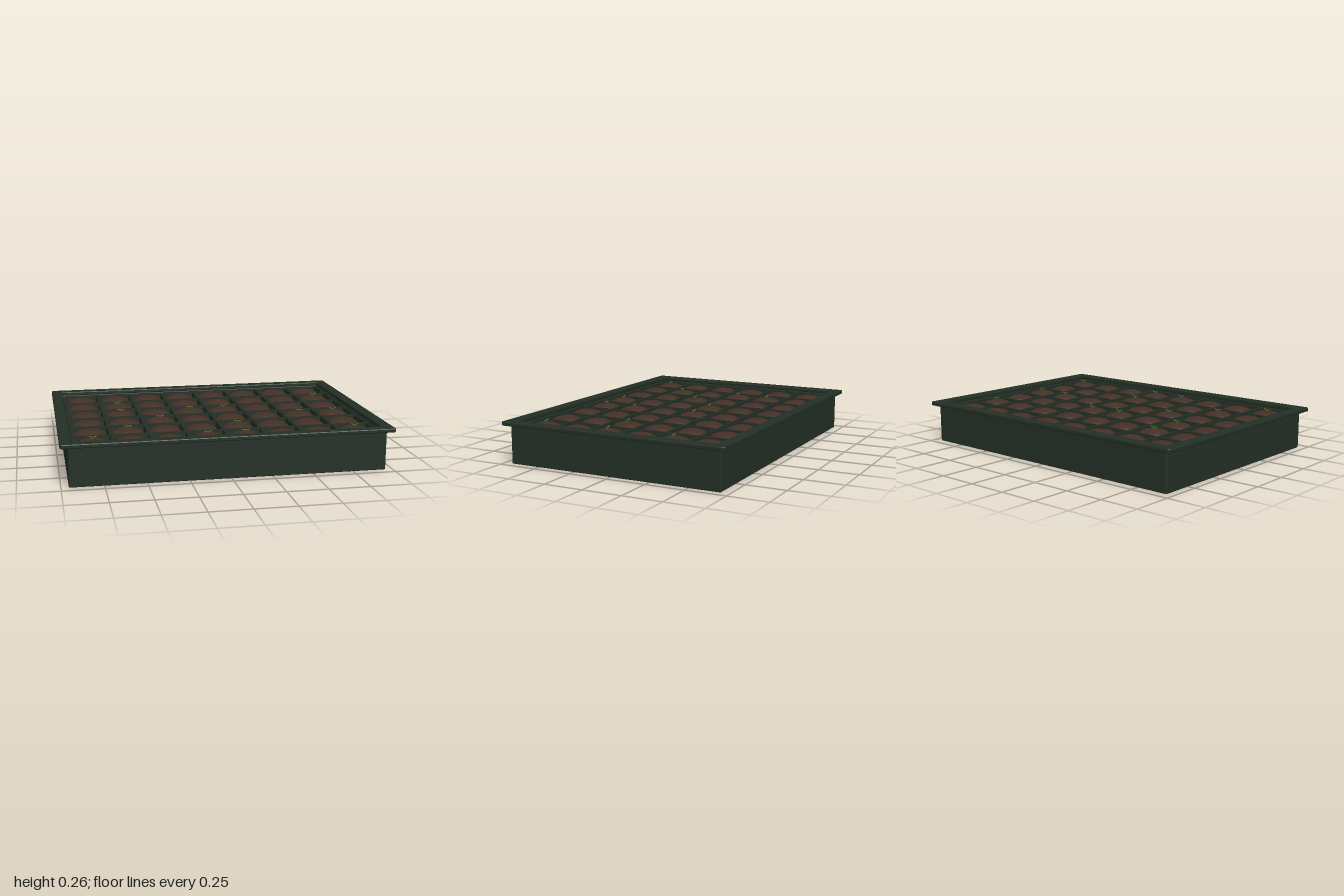
import * as THREE from 'three';

const green = new THREE.MeshStandardMaterial({ color: 0x232f25 });
green.name = 'dark green plastic';
const brown = new THREE.MeshStandardMaterial({ color: 0x452f26 });
brown.name = 'brown soil';
const leafGreen = new THREE.MeshStandardMaterial({ color: 0x4c7a2c, side: THREE.DoubleSide });
leafGreen.name = 'leaf green';

const COLS = 8, ROWS = 6, STEP_X = 0.229, STEP_Z = 0.219;
const WALL_TOP = 0.24, FLOOR = 0.035, DIVIDER_TOP = 0.235;

function add(parent, name, geometry, material, x = 0, y = 0, z = 0) {
  const mesh = new THREE.Mesh(geometry, material);
  mesh.name = name;
  mesh.position.set(x, y, z);
  parent.add(mesh);
  return mesh;
}

// Rectangle outline with small chamfered corners
function outline(hx, hz, c, Type = THREE.Shape) {
  const pts = [
    [hx - c, -hz], [hx, -hz + c], [hx, hz - c], [hx - c, hz],
    [-hx + c, hz], [-hx, hz - c], [-hx, -hz + c], [-hx + c, -hz],
  ];
  return new Type(pts.map(([x, z]) => new THREE.Vector2(x, z)));
}

// Upright rectangular frame from y0 to y1 with an open middle
function frame(hx, hz, ix, iz, y0, y1, c, bevel) {
  const shape = outline(hx - bevel, hz - bevel, c);
  shape.holes.push(outline(ix + bevel, iz + bevel, 0.002, THREE.Path));
  const geo = new THREE.ExtrudeGeometry(shape, {
    depth: y1 - y0 - 2 * bevel, bevelEnabled: bevel > 0,
    bevelSize: bevel, bevelThickness: bevel, bevelSegments: 1,
  });
  geo.rotateX(-Math.PI / 2);
  geo.translate(0, y0 + bevel, 0);
  return geo;
}

export function createModel() {
  const tray = new THREE.Group();
  tray.name = 'seedTray';

  // Shell: floor, walls and overhanging rim
  add(tray, 'floor', new THREE.BoxGeometry(1.9, FLOOR, 1.38), green, 0, FLOOR / 2, 0);
  add(tray, 'walls', frame(0.955, 0.697, 0.928, 0.664, 0, WALL_TOP, 0.004, 0.003), green);
  add(tray, 'rim', frame(1, 0.735, 0.93, 0.665, WALL_TOP, 0.264, 0.008, 0.004), green);

  // Thin dividers around every cell
  const dividers = new THREE.Group();
  dividers.name = 'dividers';
  tray.add(dividers);
  const h = DIVIDER_TOP - FLOOR, midY = FLOOR + h / 2;
  for (let i = 0; i <= COLS; i++) {
    add(dividers, 'crossDivider', new THREE.BoxGeometry(0.014, h, 1.33), green,
      (i - COLS / 2) * STEP_X, midY, 0);
  }
  for (let j = 0; j <= ROWS; j++) {
    add(dividers, 'longDivider', new THREE.BoxGeometry(1.86, h, 0.014), green,
      0, midY, (j - ROWS / 2) * STEP_Z);
  }

  // Soil plug: tapered sides under a low dome
  const profile = [new THREE.Vector2(0.075, FLOOR)];
  for (let k = 0; k <= 7; k++) {
    const a = (k / 7) * Math.PI / 2;
    profile.push(new THREE.Vector2(Math.max(0.1 * Math.cos(a), 0), 0.202 + 0.042 * Math.sin(a)));
  }
  const soil = new THREE.LatheGeometry(profile, 20);

  // Seedling parts
  const stem = new THREE.CylinderGeometry(0.002, 0.003, 0.014, 6);
  const leaf = new THREE.SphereGeometry(1, 8, 6);
  leaf.scale(0.013, 0.003, 0.006);

  // Columns that carry a seedling, row by row from the back
  const sprouted = [[], [1, 7], [1, 3, 4], [2, 6, 7], [1, 4], [0, 3, 4, 7]];

  for (let j = 0; j < ROWS; j++) {
    for (let i = 0; i < COLS; i++) {
      const x = (i - (COLS - 1) / 2) * STEP_X;
      const z = (j - (ROWS - 1) / 2) * STEP_Z;
      add(tray, 'soil', soil, brown, x, 0, z);
      if (!sprouted[j].includes(i)) continue;
      const seedling = new THREE.Group();
      seedling.name = 'seedling';
      seedling.position.set(x, 0.243, z);
      add(seedling, 'stem', stem, leafGreen, 0, 0.006, 0);
      for (const s of [-1, 1]) {
        add(seedling, 'leaf', leaf, leafGreen, s * 0.013, 0.012, 0).rotation.z = s * 0.2;
      }
      tray.add(seedling);
    }
  }
  return tray;
}
